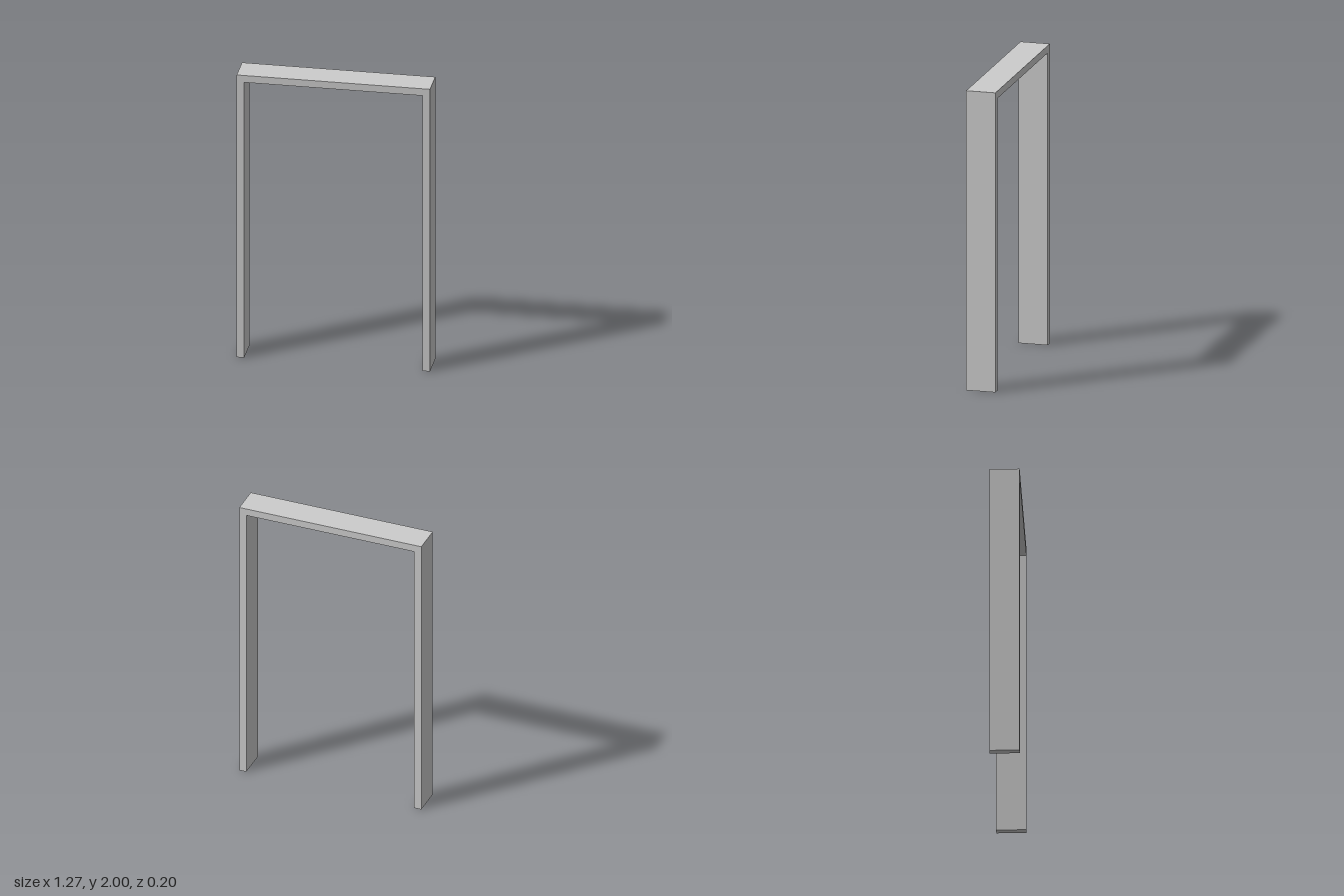
import * as THREE from 'three';

const HALF_WIDTH = 0.633, HEIGHT = 2, THICKNESS = 0.049, DEPTH = 0.196;

export function createModel() {
  const group = new THREE.Group();
  group.name = 'doorFrame';

  // U-shaped outline: two jambs joined by the head
  const inner = HALF_WIDTH - THICKNESS;
  const outline = new THREE.Shape([
    [-HALF_WIDTH, 0], [-inner, 0], [-inner, HEIGHT - THICKNESS], [inner, HEIGHT - THICKNESS],
    [inner, 0], [HALF_WIDTH, 0], [HALF_WIDTH, HEIGHT], [-HALF_WIDTH, HEIGHT],
  ].map(([x, y]) => new THREE.Vector2(x, y)));

  // Frame extruded through the wall depth
  const geometry = new THREE.ExtrudeGeometry(outline, { depth: DEPTH, bevelEnabled: false });
  geometry.translate(0, 0, -DEPTH / 2);
  const frame = new THREE.Mesh(geometry, new THREE.MeshStandardMaterial({ color: 0xcccccc }));
  frame.name = 'jambsAndHead';
  group.add(frame);

  return group;
}
